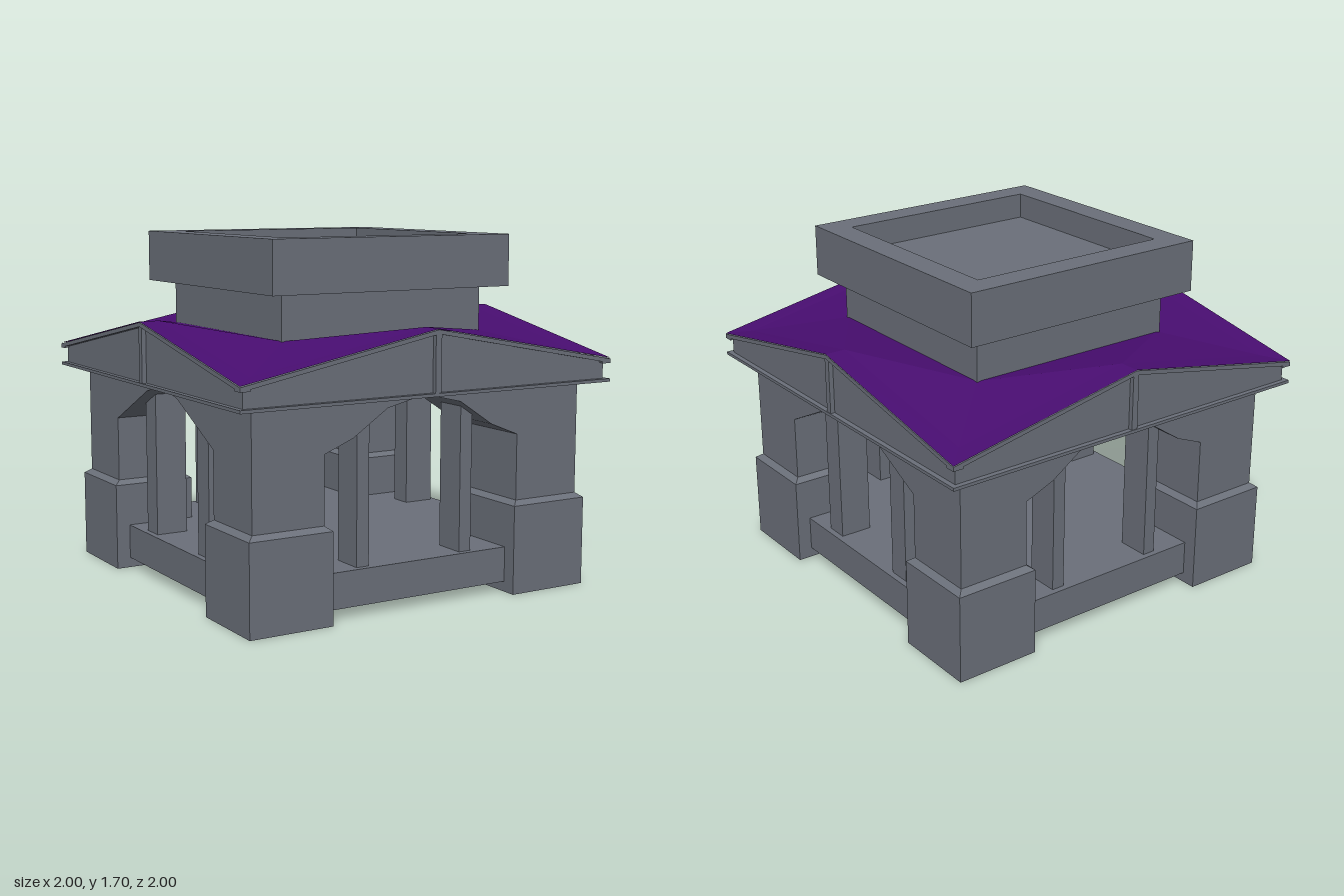
import * as THREE from 'three';

const stone = new THREE.MeshStandardMaterial({ color: 0x6a6f79 });
stone.name = 'grey stone';
const purple = new THREE.MeshStandardMaterial({ color: 0x480d70, side: THREE.DoubleSide });
purple.name = 'purple roof';

function add(parent, name, geometry, x = 0, y = 0, z = 0, material = stone) {
  const mesh = new THREE.Mesh(geometry, material);
  mesh.name = name;
  mesh.position.set(x, y, z);
  parent.add(mesh);
  return mesh;
}

// Box given by its centre in x and z, and its bottom and top heights
function block(parent, name, w, d, y0, y1, x = 0, z = 0) {
  return add(parent, name, new THREE.BoxGeometry(w, y1 - y0, d), x, (y0 + y1) / 2, z);
}

// Flat outline in x and y, extruded from z0 to z1
function slab(parent, name, points, z0, z1, holes = []) {
  const shape = new THREE.Shape(points.map(p => new THREE.Vector2(...p)));
  for (const hole of holes) shape.holes.push(new THREE.Path(hole.map(p => new THREE.Vector2(...p))));
  const geometry = new THREE.ExtrudeGeometry(shape, { depth: z1 - z0, bevelEnabled: false });
  return add(parent, name, geometry, 0, 0, z0);
}

const square = r => [[-r, -r], [r, -r], [r, r], [-r, r]];
const edgeHeight = x => 1.3 - 0.19 * Math.abs(x);

// Roof skin: rings of corners and raised side middles
function roofGeometry() {
  const rings = [
    { r: 1, corner: 1.115, middle: 1.304 },
    { r: 0.9, corner: 1.136, middle: 1.304 },
    { r: 0.54, corner: 1.235, middle: 1.235 },
  ];
  const around = [[1, 1], [1, 0], [1, -1], [0, -1], [-1, -1], [-1, 0], [-1, 1], [0, 1]];
  const positions = [];
  const index = [];
  for (const ring of rings) {
    for (const [x, z] of around) {
      positions.push(x * ring.r, x && z ? ring.corner : ring.middle, z * ring.r);
    }
  }
  for (let k = 0; k < rings.length - 1; k++) {
    for (let i = 0; i < 8; i++) {
      const j = (i + 1) % 8;
      const a = k * 8 + i, b = k * 8 + j, c = a + 8, d = b + 8;
      // Each half side folds the same way, mirrored
      if (i % 2 === 0) index.push(a, b, c, b, d, c);
      else index.push(a, b, d, a, d, c);
    }
  }
  let geometry = new THREE.BufferGeometry();
  geometry.setAttribute('position', new THREE.Float32BufferAttribute(positions, 3));
  geometry.setIndex(index);
  geometry = geometry.toNonIndexed();
  geometry.computeVertexNormals();
  return geometry;
}

export function createModel() {
  const model = new THREE.Group();
  model.name = 'pavilion';

  // Raised floor
  block(model, 'floor', 1.7, 1.7, 0.05, 0.22);

  // Corner pillars on chamfered bases
  for (const x of [-0.71, 0.71]) {
    for (const z of [-0.71, 0.71]) {
      const pillar = new THREE.Group();
      pillar.name = 'cornerPillar';
      pillar.position.set(x, 0, z);
      model.add(pillar);
      block(pillar, 'pillarBase', 0.42, 0.42, 0, 0.43);
      const chamfer = new THREE.CylinderGeometry(0.18 * Math.SQRT2, 0.21 * Math.SQRT2, 0.022, 4)
        .rotateY(Math.PI / 4).toNonIndexed();
      chamfer.computeVertexNormals();
      add(pillar, 'pillarChamfer', chamfer, 0, 0.441, 0);
      block(pillar, 'pillarShaft', 0.36, 0.36, 0.45, 1);
    }
  }

  // Four sides: arch, slim columns and gable
  const frontArch = [[0.53, 0.77], [0.38, 0.83], [0.2, 0.95]];
  const sideArch = [[0.53, 0.77], [0.17, 0.95]];
  for (let k = 0; k < 4; k++) {
    const side = new THREE.Group();
    side.name = ['front', 'left', 'back', 'right'][k] + 'Side';
    side.rotation.y = k * Math.PI / 2;
    model.add(side);

    const half = k % 2 ? sideArch : frontArch;
    const mirrored = half.map(([x, y]) => [-x, y]);
    slab(side, 'arch', [...mirrored, [0, 0.997], ...half.slice().reverse(), [0.53, 1], [-0.53, 1]], 0.53, 0.89);

    const width = k % 2 ? 0.115 : 0.065;
    for (const s of [-1, 1]) block(side, 'column', width, 0.16, 0.22, 0.95, s * 0.285, 0.74);

    // Recessed gable panel with its projecting trim
    slab(side, 'gablePanel', [[-0.975, 1.01], [0.975, 1.01], [0.975, edgeHeight(0.975) - 0.01],
      [0, 1.29], [-0.975, edgeHeight(0.975) - 0.01]], 0.93, 0.975);
    slab(side, 'gableTrim', [[-1, 1.09], [0, 1.28], [1, 1.09], [1, 1.11], [0, 1.3], [-1, 1.11]], 0.95, 1);
    block(side, 'gablePost', 0.032, 0.03, 1.01, 1.285, 0, 0.982);
  }

  // Ceiling slab, whose edge forms the lower gable trim
  block(model, 'ceiling', 2, 2, 1, 1.015);

  add(model, 'roof', roofGeometry(), 0, 0, 0, purple);

  // Neck and hollow cap above the roof
  block(model, 'neck', 1.1, 1.1, 1.2, 1.45);
  block(model, 'capFloor', 1.3, 1.3, 1.45, 1.575);
  const rim = slab(model, 'capRim', square(0.65), 0, 0.125, [square(0.52).reverse()]);
  rim.rotation.x = -Math.PI / 2;
  rim.position.y = 1.575;

  return model;
}
